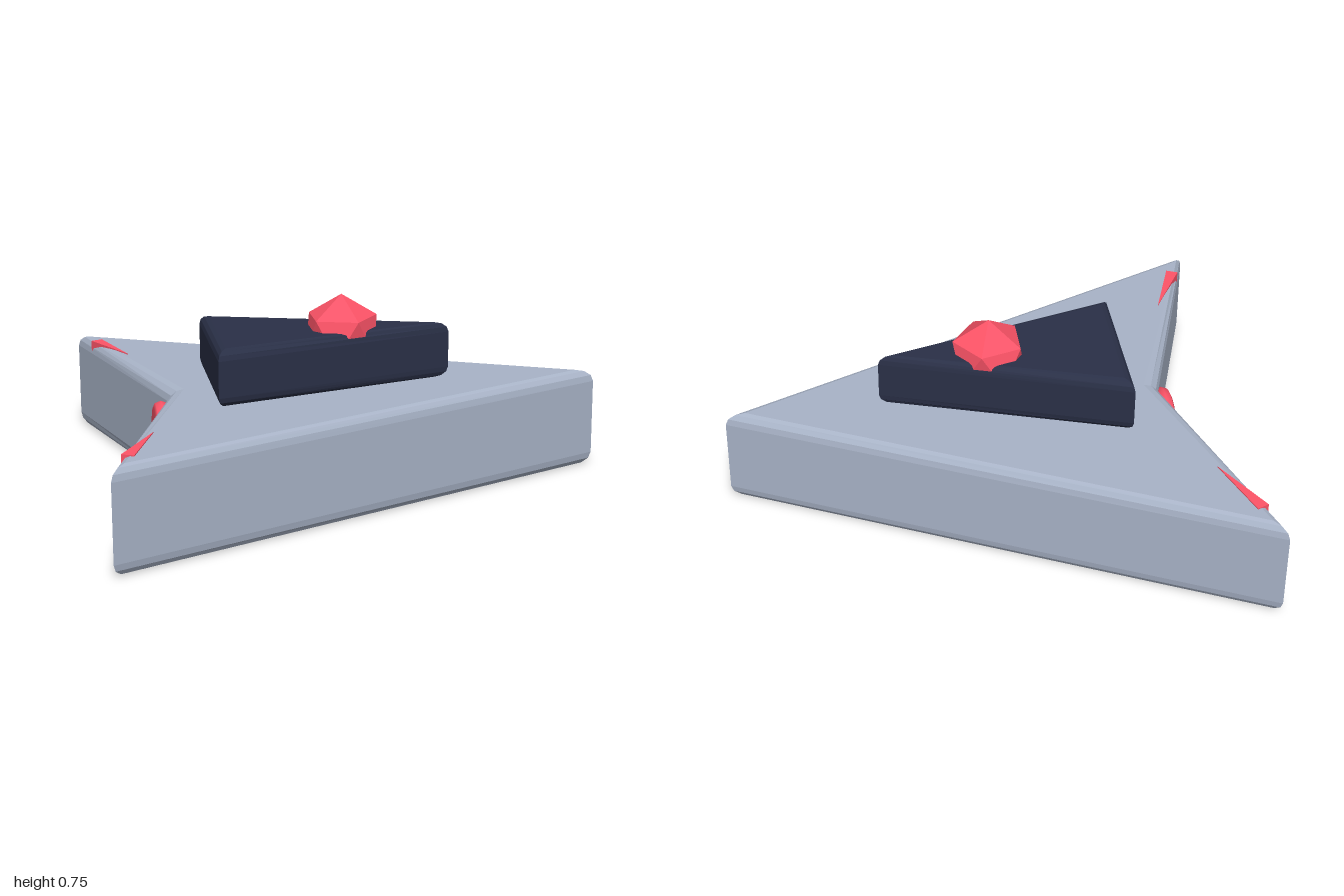
import * as THREE from 'three';

const hull = new THREE.MeshStandardMaterial({ color: 0xa9b4c8 });
const dark = new THREE.MeshStandardMaterial({ color: 0x2a3047 });
const red = new THREE.MeshStandardMaterial({ color: 0xff5468 });

// Plan outline [x, z] raised into a slab from y0 to y1, with rounded rims
function slab(points, y0, y1, bevelSize, bevelThickness, bevelSegments = 3) {
  const shape = new THREE.Shape(points.map(([x, z]) => new THREE.Vector2(x, -z)));
  const geometry = new THREE.ExtrudeGeometry(shape, {
    depth: y1 - y0 - 2 * bevelThickness,
    bevelEnabled: bevelSize > 0,
    bevelSize, bevelThickness, bevelSegments,
  });
  geometry.rotateX(-Math.PI / 2);
  geometry.translate(0, y0 + bevelThickness, 0);
  return geometry;
}

export function createModel() {
  const model = new THREE.Group();
  const add = (name, geometry, material) => {
    const mesh = new THREE.Mesh(geometry, material);
    mesh.name = name;
    model.add(mesh);
    return mesh;
  };

  // Arrowhead hull with a notched tail
  add('hull', slab([[0.92, 0], [-0.65, 0], [-0.95, 0.91]].length && [
    [0.922, 0], [-0.95, -0.91], [-0.65, 0], [-0.95, 0.91],
  ], 0, 0.398, 0.055, 0.05), hull);

  // Triangular upper deck
  add('upperDeck', slab([
    [0.343, 0], [-0.517, -0.264], [-0.517, 0.264],
  ], 0.398, 0.62, 0.04, 0.04), dark);

  // Faceted canopy, one corner up and one forward
  const canopy = new THREE.CylinderGeometry(0, 0.1405, 0.087, 5, 1, true, Math.PI / 2);
  canopy.translate(-0.03, 0.7065, 0);
  add('canopyTop', canopy.toNonIndexed(), red).geometry.computeVertexNormals();
  const ring = [];
  const corner = (i, y) => {
    const a = (i * Math.PI) / 5;
    return [-0.03 + 0.1405 * Math.cos(a), y, 0.1405 * Math.sin(a)];
  };
  for (let i = 0; i < 10; i += 2) {
    const [a, b, c, d] = [corner(i, 0.663), corner(i + 2, 0.663), corner(i + 1, 0.523), corner(i + 3, 0.523)];
    ring.push(...a, ...b, ...c, ...b, ...d, ...c);
  }
  const band = new THREE.BufferGeometry();
  band.setAttribute('position', new THREE.Float32BufferAttribute(ring, 3));
  band.computeVertexNormals();
  add('canopyBand', band, red);

  // Round engine disc at the tail notch, with a softened rim
  const profile = [[0, -0.03], [0.125, -0.03], [0.142, -0.022], [0.15, 0], [0.142, 0.022], [0.125, 0.03], [0, 0.03]]
    .map(([r, y]) => new THREE.Vector2(r, y));
  const engine = add('engine', new THREE.LatheGeometry(profile, 32), red);
  engine.rotation.z = Math.PI / 2;
  engine.position.set(-0.738, 0.2, 0);

  // Slim wedge on each wing tip
  for (const side of [1, -1]) {
    add(side > 0 ? 'frontWingWedge' : 'backWingWedge', slab([
      [-0.955, 0.82 * side], [-0.91, 0.84 * side], [-0.82, 0.57 * side],
    ], 0.33, 0.402, 0, 0), red);
  }
  return model;
}
